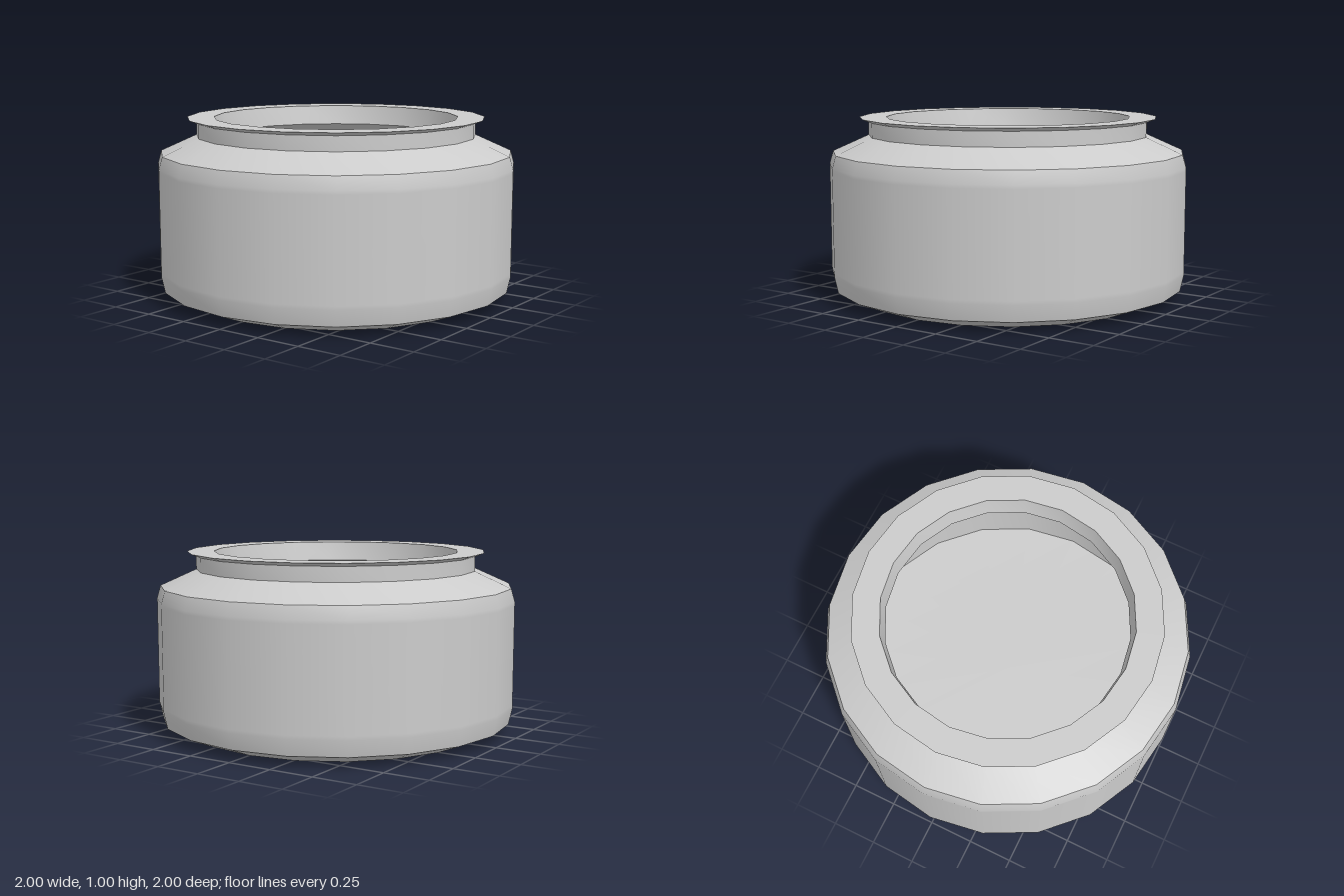
import * as THREE from 'three';
import { toCreasedNormals } from 'three/addons/utils/BufferGeometryUtils.js';

const SIDES = 20;
const material = new THREE.MeshStandardMaterial({ color: 0xcccccc });

// Revolve a [radius, height] profile; smooth around, sharp at strong profile bends.
function revolve(name, profile) {
  const points = profile.map(([r, y]) => new THREE.Vector2(r, y));
  const geometry = toCreasedNormals(new THREE.LatheGeometry(points, SIDES), Math.PI / 6.5);
  const mesh = new THREE.Mesh(geometry, material);
  mesh.name = name;
  return mesh;
}

export function createModel() {
  const jar = new THREE.Group();
  jar.name = 'jar';

  // Outside: base, bevelled wall (support loops keep its middle straight) and sloping shoulder
  jar.add(revolve('outerBody', [
    [0, 0], [0.82, 0], [0.83, 0], [0.98, 0.06], [1, 0.15], [1, 0.17],
    [1, 0.72], [1, 0.74], [0.98, 0.81], [0.78, 0.9],
  ]));

  // Neck with a flared lip, narrowing slightly on the inside
  jar.add(revolve('neckAndLip', [
    [0.78, 0.9], [0.78, 0.98], [0.83, 1], [0.68, 1], [0.66, 0.89],
  ]));

  // Hollow inside: underside of shoulder, straight wall and thick floor
  jar.add(revolve('innerBody', [
    [0.66, 0.89], [0.92, 0.74], [0.92, 0.15], [0, 0.14],
  ]));

  return jar;
}
